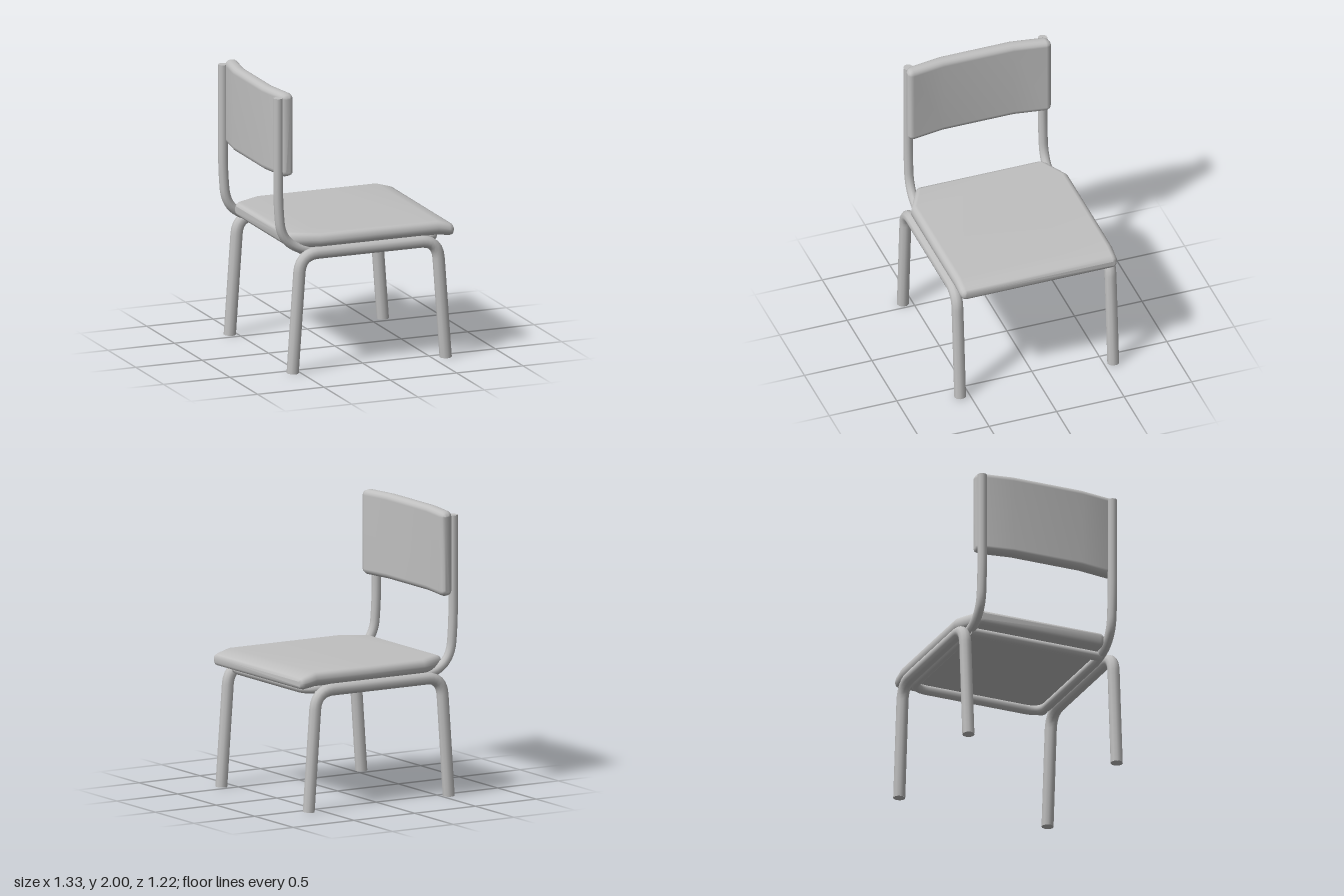
import * as THREE from 'three';
import { mergeGeometries } from 'three/addons/utils/BufferGeometryUtils.js';

const V = (x, y, z) => new THREE.Vector3(x, y, z);

// Straight runs joined by rounded corners of the given reach
function roundedPath(points, reach) {
  const path = new THREE.CurvePath();
  let from = points[0];
  for (let i = 1; i < points.length - 1; i++) {
    const p = points[i];
    const r = reach[i - 1];
    const a = p.clone().add(points[i - 1].clone().sub(p).setLength(r));
    const b = p.clone().add(points[i + 1].clone().sub(p).setLength(r));
    path.add(new THREE.LineCurve3(from, a));
    path.add(new THREE.QuadraticBezierCurve3(a, p, b));
    from = b;
  }
  path.add(new THREE.LineCurve3(from, points[points.length - 1]));
  return path;
}

// Tube with closed ends that never dips below the floor
function cappedTube(path, radius, segments) {
  const parts = [new THREE.TubeGeometry(path, segments, radius, 10)];
  for (const t of [0, 1]) {
    const dir = path.getTangentAt(t).multiplyScalar(t ? 1 : -1);
    const cap = new THREE.CircleGeometry(radius, 10);
    cap.applyQuaternion(new THREE.Quaternion().setFromUnitVectors(V(0, 0, 1), dir));
    const p = path.getPointAt(t);
    parts.push(cap.translate(p.x, p.y, p.z));
  }
  const geo = mergeGeometries(parts);
  const pos = geo.attributes.position;
  for (let i = 0; i < pos.count; i++) pos.setY(i, Math.max(0, pos.getY(i)));
  return geo;
}

// Rounded rectangle section, counter-clockwise in (u, v)
function section(u0, u1, v0, v1, r) {
  const pts = [];
  const corners = [[u1 - r, v1 - r], [u0 + r, v1 - r], [u0 + r, v0 + r], [u1 - r, v0 + r]];
  corners.forEach(([u, v], c) => {
    for (let k = 0; k <= 4; k++) {
      const a = (c + k / 4) * Math.PI / 2;
      pts.push([u + r * Math.cos(a), v + r * Math.sin(a)]);
    }
  });
  return pts;
}

// Skin over equal-sized rings, closed at both ends
function loft(rings) {
  const n = rings[0].length;
  const pos = rings.flat(2);
  const index = [];
  for (let s = 0; s < rings.length - 1; s++) {
    for (let i = 0; i < n; i++) {
      const j = (i + 1) % n;
      const a = s * n + i, b = s * n + j;
      index.push(a, b, b + n, a, b + n, a + n);
    }
  }
  const last = (rings.length - 1) * n;
  for (let i = 1; i < n - 1; i++) {
    index.push(0, i + 1, i, last, last + i, last + i + 1);
  }
  const geo = new THREE.BufferGeometry();
  geo.setAttribute('position', new THREE.Float32BufferAttribute(pos, 3));
  geo.setIndex(index);
  geo.computeVertexNormals();
  return geo;
}

export function createModel() {
  const model = new THREE.Group();
  model.name = 'chair';
  const grey = new THREE.MeshStandardMaterial({ color: 0xc0c0c0 });
  grey.name = 'light grey';
  const add = (geo, name) => {
    const mesh = new THREE.Mesh(geo, grey);
    mesh.name = name;
    model.add(mesh);
  };

  // Bent leg frame on each side
  for (const side of [1, -1]) {
    const z = side * 0.567;
    const path = roundedPath(
      [V(-0.555, 0, z), V(-0.495, 0.848, z), V(0.535, 0.848, z), V(0.598, 0, z)],
      [0.13, 0.13]);
    add(cappedTube(path, 0.043, 80), side > 0 ? 'leftLegFrame' : 'rightLegFrame');
  }

  // One tube: back upright, under the seat, across the front and back up
  const half = [V(-0.635, 1.97, 0.498), V(-0.635, 1.22, 0.498), V(-0.61, 0.91, 0.498),
    V(-0.38, 0.85, 0.498), V(0.562, 0.85, 0.498)];
  const mirrored = half.map((p) => V(p.x, p.y, -p.z)).reverse();
  const reach = [0.12, 0.17, 0.06, 0.12];
  add(cappedTube(roundedPath([...half, ...mirrored], [...reach, ...reach.slice().reverse()]),
    0.034, 200), 'backAndSeatFrame');

  // Rear cross bar under the seat
  add(cappedTube(new THREE.LineCurve3(V(-0.44, 0.85, -0.5), V(-0.44, 0.85, 0.5)), 0.032, 1),
    'rearCrossBar');

  // Seat: sections along x as [x, half width, bottom, top, corner radius]
  const seat = [
    [-0.56, 0.46, 0.905, 0.955, 0.02],
    [-0.55, 0.475, 0.888, 0.972, 0.035],
    [-0.525, 0.49, 0.88, 0.982, 0.045],
    [-0.35, 0.582, 0.88, 0.982, 0.045],
    [0.1, 0.583, 0.88, 0.982, 0.045],
    [0.54, 0.583, 0.88, 0.982, 0.045],
    [0.63, 0.58, 0.867, 0.955, 0.04],
    [0.655, 0.572, 0.872, 0.945, 0.032],
    [0.665, 0.555, 0.89, 0.925, 0.015],
  ];
  add(loft(seat.map(([x, w, y0, y1, r]) =>
    section(y0, y1, -w, w, r).map(([y, z]) => [x, y, z]))), 'seat');

  // Backrest: sections along z as [z, middle x, inset]; the wings bend forward
  const wing = [[0.26, -0.611, 0], [0.49, -0.575, 0], [0.516, -0.571, 0.01], [0.528, -0.57, 0.03]];
  const back = [...wing.map(([z, x, i]) => [-z, x, i]).reverse(), ...wing];
  add(loft(back.map(([z, x, i]) =>
    section(x - 0.048 + i, x + 0.048 - i, 1.4 + i, 2 - i, 0.04 - i)
      .map(([px, py]) => [px, py, z]))), 'backrest');

  return model;
}
